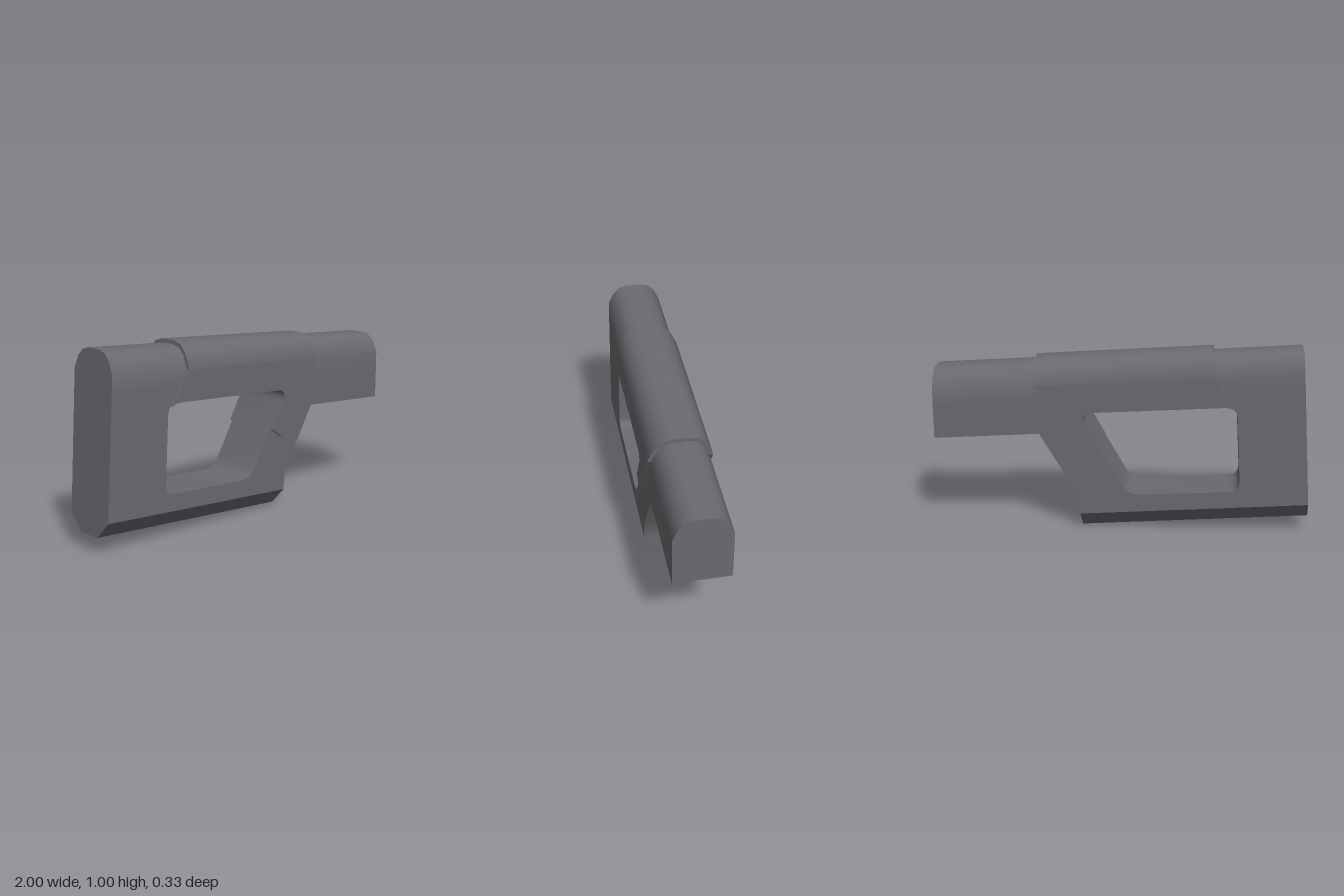
import * as THREE from 'three';
import { toCreasedNormals } from 'three/addons/utils/BufferGeometryUtils.js';

const CREASE = 0.6;
const BODY = 0.147; // half widths
const SLEEVE = 0.164;

// Sweep a (z, t) section between two slanted ends; t runs from 0 (low point) to 1 (high point)
function prism(section, left, right) {
  const ring = ([low, high]) => section.map(([z, t]) => [
    low[0] + (high[0] - low[0]) * t, low[1] + (high[1] - low[1]) * t, z]);
  const L = ring(left), R = ring(right), n = section.length, pos = [];
  const tri = (a, b, c) => pos.push(...a, ...b, ...c);
  for (let i = 0; i < n; i++) {
    const j = (i + 1) % n;
    tri(L[i], R[i], R[j]);
    tri(L[i], R[j], L[j]);
    if (i > 0 && j > 0) {
      tri(L[0], L[i], L[j]);
      tri(R[0], R[j], R[i]);
    }
  }
  const geo = new THREE.BufferGeometry();
  geo.setAttribute('position', new THREE.Float32BufferAttribute(pos, 3));
  return toCreasedNormals(geo, CREASE);
}

// Faceted arch section of a given total height, mirrored in z
function arch(halfWidth, height) {
  const k = halfWidth / BODY;
  const half = [[BODY, height], [BODY, 0.108 * k], [0.118, 0.045 * k], [0.085, 0.012 * k], [0.042, 0]]
    .map(([z, drop]) => [z * k, 1 - drop / height]);
  return [...half, ...half.map(([z, t]) => [-z, t]).reverse()];
}

function slab(shape, halfWidth) {
  const geo = new THREE.ExtrudeGeometry(shape, { depth: 2 * halfWidth, bevelEnabled: false, curveSegments: 7 });
  geo.translate(0, 0, -halfWidth);
  return toCreasedNormals(geo, CREASE);
}

const outline = (points) => new THREE.Shape(points.map(([x, y]) => new THREE.Vector2(x, y)));

export function createModel() {
  const group = new THREE.Group();
  const grey = new THREE.MeshStandardMaterial({ color: 0x6a696e });
  grey.name = 'grey';
  const add = (name, geo) => {
    const mesh = new THREE.Mesh(geo, grey);
    mesh.name = name;
    group.add(mesh);
  };

  // Frame with the rounded grip opening
  const frame = outline([[-0.995, 0.175], [0.218, 0.09], [0.225, 0.19], [0.435, 0.535],
    [1, 0.498], [1, 0.673], [-0.953, 0.8]]);
  const hole = new THREE.Path();
  hole.moveTo(-0.61, 0.64);
  hole.lineTo(-0.63, 0.295);
  hole.quadraticCurveTo(-0.632, 0.239, -0.57, 0.235);
  hole.lineTo(-0.1, 0.208);
  hole.quadraticCurveTo(-0.035, 0.205, 0, 0.265);
  hole.lineTo(0.19, 0.59);
  hole.quadraticCurveTo(0.222, 0.654, 0.155, 0.66);
  hole.lineTo(-0.54, 0.702);
  hole.quadraticCurveTo(-0.606, 0.706, -0.61, 0.64);
  frame.holes.push(hole);
  add('frame', slab(frame, BODY));

  // Rounded top of the frame
  add('roundedTop', prism(arch(BODY, 0.2),
    [[-0.953, 0.8], [-0.94, 1]], [[1, 0.673], [1, 0.873]]));

  // Chamfered foot along the bottom edge
  add('chamferedFoot', prism([[0.064, 0], [BODY, 1], [-BODY, 1], [-0.064, 0]],
    [[-1, 0.086], [-0.995, 0.175]], [[0.215, 0], [0.218, 0.09]]));

  // Raised sleeve: side plates that follow the opening, and the arch above them
  const side = outline([[-0.485, 0.86], [-0.592, 0.687]]);
  side.quadraticCurveTo(-0.575, 0.703, -0.54, 0.702);
  side.lineTo(0.155, 0.66);
  side.quadraticCurveTo(0.222, 0.654, 0.19, 0.59);
  side.lineTo(0.11, 0.453);
  side.lineTo(0.185, 0.4);
  side.lineTo(0.455, 0.8);
  add('sleeveSides', slab(side, SLEEVE));
  add('sleeveTop', prism(arch(SLEEVE, 0.13),
    [[-0.485, 0.86], [-0.477, 0.99]], [[0.455, 0.8], [0.463, 0.928]]));

  return group;
}
